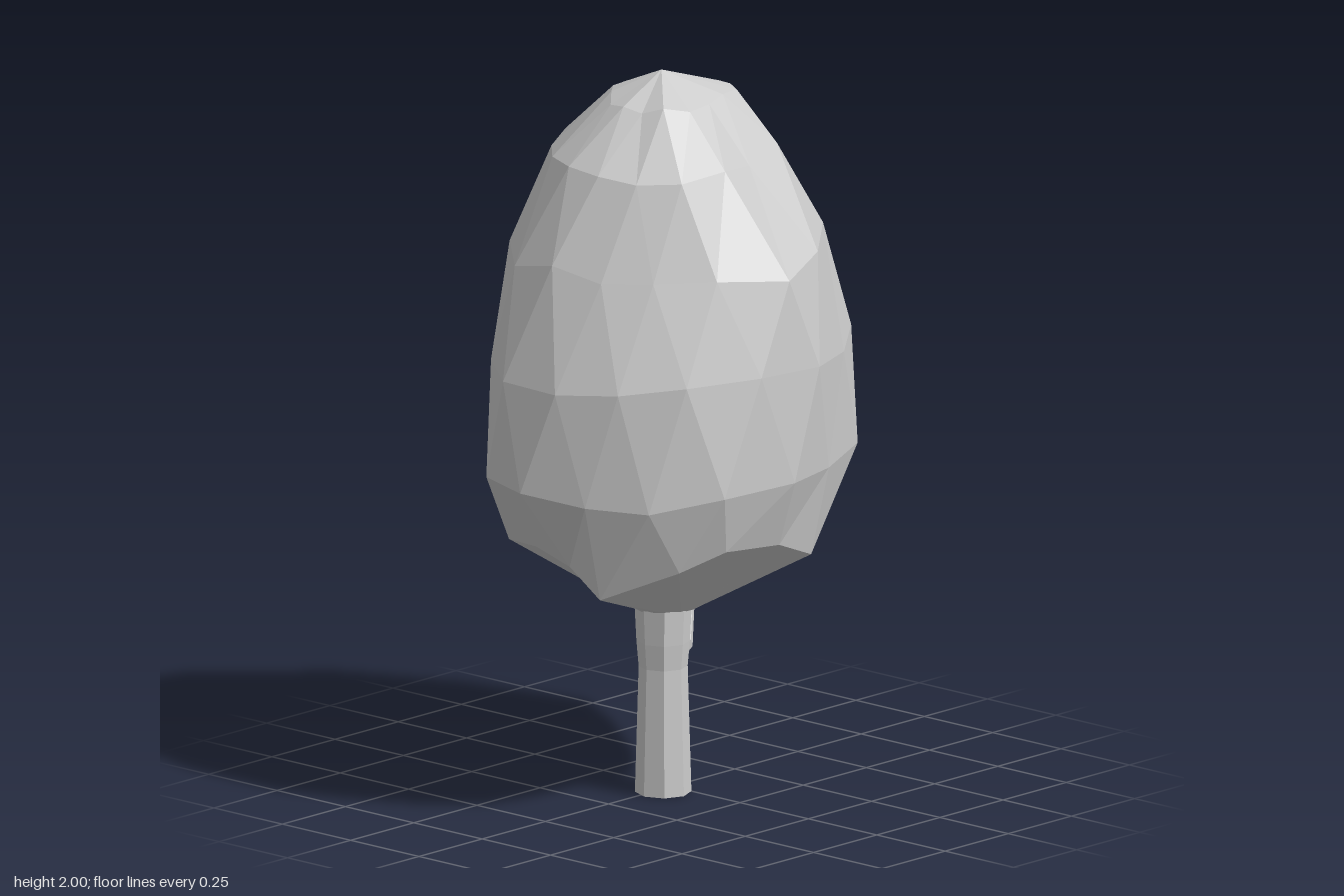
import * as THREE from 'three';

const grey = new THREE.MeshStandardMaterial({ color: 0xcccccc, flatShading: true });
grey.name = 'pale grey';

// Small seeded generator, -1..1
let seed = 11;
const rand = () => {
  seed = (seed * 16807) % 2147483647;
  return (seed / 2147483647) * 2 - 1;
};

// Skin rings of equal point count (bottom to top) with two end points
function skin(rings, bottom, top) {
  const pos = [];
  const tri = (a, b, c) => pos.push(...a.toArray(), ...b.toArray(), ...c.toArray());
  const n = rings[0].length;
  for (let j = 0; j < n; j++) {
    const k = (j + 1) % n;
    tri(bottom, rings[0][k], rings[0][j]);
    for (let i = 0; i < rings.length - 1; i++) {
      const [a, b, c, d] = [rings[i][j], rings[i][k], rings[i + 1][k], rings[i + 1][j]];
      if (i % 2 === 0) { tri(a, b, d); tri(b, c, d); } // next ring shifted forward
      else { tri(a, b, c); tri(a, c, d); }             // next ring shifted back
    }
    const last = rings[rings.length - 1];
    tri(last[j], last[k], top);
  }
  const g = new THREE.BufferGeometry();
  g.setAttribute('position', new THREE.Float32BufferAttribute(pos, 3));
  g.computeVertexNormals();
  return g;
}

function addMesh(group, name, geometry) {
  const m = new THREE.Mesh(geometry, grey);
  m.name = name;
  group.add(m);
}

export function createModel() {
  seed = 11;
  const tree = new THREE.Group();
  tree.name = 'tree';

  // Widest canopy outline (x, z), running counter-clockwise seen from above
  const plan = [
    [0.62, -0.01], [0.56, -0.26], [0.41, -0.39], [0.24, -0.51], [0, -0.51], [-0.2, -0.44],
    [-0.35, -0.31], [-0.55, -0.16], [-0.62, 0.03], [-0.57, 0.21], [-0.48, 0.36], [-0.31, 0.48],
    [-0.06, 0.51], [0.15, 0.45], [0.41, 0.31], [0.52, 0.18],
  ];
  const outline = new THREE.CatmullRomCurve3(plan.map(([x, z]) => new THREE.Vector3(x, 0, z)), true);

  // Uneven lower rim of the canopy (x, y, z), half a step ahead of the outline
  const rim = [
    [0.48, 0.67, -0.17], [0.44, 0.7, -0.27], [0.33, 0.72, -0.34], [0.2, 0.7, -0.37],
    [-0.05, 0.77, -0.43], [-0.2, 0.72, -0.39], [-0.33, 0.7, -0.29], [-0.45, 0.74, -0.08],
    [-0.49, 0.72, 0.08], [-0.5, 0.65, 0.2], [-0.37, 0.73, 0.37], [-0.26, 0.78, 0.44],
    [-0.05, 0.76, 0.44], [0.13, 0.69, 0.39], [0.29, 0.73, 0.28], [0.44, 0.74, 0.03],
  ].map((p) => new THREE.Vector3(...p));

  // Reach of the canopy in eight directions, every 45 degrees from +x towards -z
  const widest = [0.62, 0.58, 0.515, 0.51, 0.62, 0.6, 0.51, 0.51];
  const foot = { y: 0.51, reach: [0.13, 0.16, 0.07, 0.1, 0.125, 0.11, 0.09, 0.09] };
  const crown = [
    { y: 0.93, reach: [0.62, 0.59, 0.51, 0.51, 0.63, 0.6, 0.51, 0.5], wobble: 0.02 },
    { y: 1.23, reach: [0.59, 0.55, 0.52, 0.52, 0.62, 0.59, 0.52, 0.49], wobble: 0.03 },
    { y: 1.53, reach: [0.48, 0.5, 0.42, 0.48, 0.51, 0.48, 0.51, 0.42], wobble: 0.03 },
    { y: 1.78, reach: [0.28, 0.37, 0.34, 0.36, 0.37, 0.4, 0.27, 0.31], wobble: 0.02 },
    { y: 1.93, reach: [0.19, 0.18, 0.17, 0.18, 0.2, 0.22, 0.15, 0.18], wobble: 0.01 },
  ];
  const ring = ({ y, reach, wobble = 0 }, shift) => plan.map((_, j) => {
    const p = outline.getPoint((j + shift) / plan.length);
    const t = (Math.atan2(-p.z, p.x) / (Math.PI / 4) + 8) % 8;
    const a = Math.floor(t), b = (a + 1) % 8;
    const s = THREE.MathUtils.lerp(reach[a] / widest[a], reach[b] / widest[b], t - a);
    p.multiplyScalar(s * (1 + (rand() - 0.5) * wobble * 0.5));
    p.y = y + rand() * wobble;
    return p;
  });
  const rings = [ring(foot, 0), rim, ...crown.map((level, i) => ring(level, (i % 2) * 0.5))];
  addMesh(tree, 'canopy', skin(rings, new THREE.Vector3(0, 0.51, 0), new THREE.Vector3(-0.04, 2, 0)));

  // Octagonal trunk, slightly waisted
  const waist = [[0, 0.076], [0.35, 0.066], [0.42, 0.072], [0.52, 0.077]];
  const trunk = new THREE.LatheGeometry(
    [[0, 0], ...waist.map(([y, r]) => [r, y]), [0, 0.52]].map(([r, y]) => new THREE.Vector2(r, y)), 8);
  trunk.translate(-0.053, 0, 0.018);
  addMesh(tree, 'trunk', trunk);

  // Bent side branch reaching the underside of the canopy
  const path = [[-0.03, 0.37, 0.01, 0.04], [0.075, 0.39, -0.02, 0.027], [0.152, 0.525, -0.075, 0.018]];
  const tilt = [0.1, 0.6, 0.95]; // slope of each section
  const branchRings = path.map(([x, y, z, r], i) => Array.from({ length: 5 }, (_, j) => {
    const a = (j / 5) * Math.PI * 2;
    const u = Math.cos(a) * r, w = Math.sin(a) * r;
    return new THREE.Vector3(x - Math.sin(tilt[i]) * u, y + Math.cos(tilt[i]) * u, z + w);
  }));
  const end = (i) => new THREE.Vector3(...path[i].slice(0, 3));
  addMesh(tree, 'branch', skin(branchRings, end(0), end(2)));

  return tree;
}
